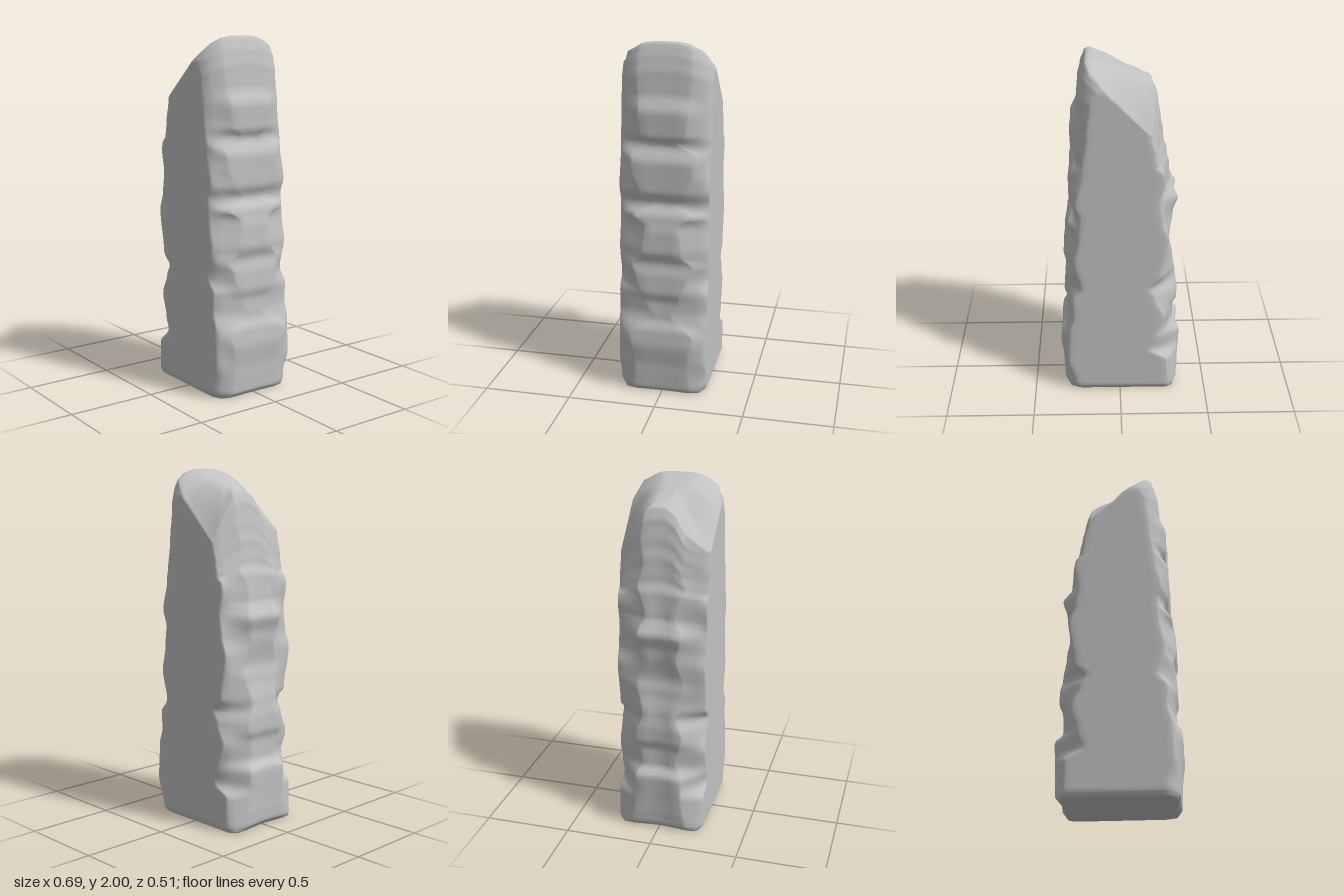
import * as THREE from 'three';

// Profiles as [height, value], eased between entries
const rightEdge = [[0, .315], [.02, .325], [.15, .33], [.3, .345], [.38, .338], [.45, .31], [.55, .305], [.61, .32], [.7, .315],
  [.78, .3], [.85, .32], [.95, .315], [1.05, .3], [1.12, .26], [1.19, .285], [1.35, .285], [1.45, .247], [1.51, .27],
  [1.65, .273], [1.75, .237], [1.86, .23], [1.94, .213], [2, .19]];
const leftEdge = [[0, .325], [.03, .337], [.12, .342], [.34, .35], [.39, .31], [.5, .31], [.56, .33], [.63, .33], [.72, .318],
  [.85, .295], [.93, .28], [1.1, .3], [1.2, .325], [1.24, .303], [1.28, .28], [1.42, .27], [1.53, .245], [1.66, .235],
  [1.78, .22], [1.93, .203], [2, .18]];
// Where the flat faces end on each side
const rightFace = [[0, .24], [.06, .26], [.2, .3], [.4, .29], [.5, .265], [.6, .27], [.68, .22], [.85, .255], [1, .23], [1.12, .22],
  [1.2, .245], [1.4, .205], [1.65, .18], [1.85, .16], [1.94, .13], [2, .08]];
const leftFace = [[0, .28], [.2, .275], [.27, .18], [.36, .21], [.5, .245], [.62, .2], [.68, .17], [.75, .23], [1, .265], [1.1, .235],
  [1.22, .22], [1.35, .24], [1.5, .2], [1.7, .19], [2, .165]];
// Half width of the side panels: each scallop starts narrow and widens upwards
const rightPanel = [[0, .17], [.2, .16], [.35, .19], [.48, .06], [.55, .1], [.7, .15], [.77, .18], [.83, .12], [1, .1], [1.06, .17],
  [1.12, .06], [1.18, .13], [1.3, .175], [1.4, .19], [1.46, .08], [1.52, .13], [1.65, .145], [1.9, .16], [2, .15]];
const leftPanel = [[0, .17], [.2, .14], [.34, .14], [.42, .1], [.6, .14], [.72, .1], [.9, .14], [1.05, .1], [1.2, .13],
  [1.3, .09], [1.5, .14], [1.65, .11], [1.85, .13], [2, .12]];

function sample(table, y) {
  const k = Math.max(1, table.findIndex(p => p[0] >= y - 1e-6));
  const [a, b] = [table[k - 1], table[k]];
  const t = THREE.MathUtils.clamp((y - a[0]) / (b[0] - a[0]), 0, 1);
  return a[1] + (b[1] - a[1]) * t * t * (3 - 2 * t);
}

// Slanted top: a high ridge that drops to diagonal cuts, with a steep hollow at the front left
function roofHeight(x, z) {
  const { clamp, lerp, smoothstep } = THREE.MathUtils;
  const ridge = Math.min(1.937 + .375 * x, 2 - .5 * (x - .16));
  const cut = Math.min(z > 0 ? 1.8 + .875 * x : 1.775 + x, 1.91);
  const slope = Math.pow(clamp((Math.abs(z) - .08) / .17, 0, 1), 1.6);
  const hollow = .65 * smoothstep(z, .02, .14) + .35 * clamp((z - .14) / .11, 0, 1);
  return lerp(ridge, cut, lerp(slope, hollow, z > 0 ? smoothstep(-x, -.06, .1) : 0));
}

// One quarter of a cross-section, from the side panel round the chipped corner to the flat face
function quarter(edge, trend, face, panel, dip, depth) {
  const corner = Math.min(edge - .004, (trend + face) / 2 + .004);
  return [
    [edge - dip, 0], [edge - dip * .5, panel * .5], [edge, panel * .88], [edge - (edge - corner) * .2, panel],
    [corner, panel + (depth - panel) * .62],
    [face + .006, depth - .006], [face - .012, depth], [face - .04, depth], [face * .4, depth]
  ];
}

function section(y) {
  const bevel = Math.max(0, 1 - y / .03);
  const depth = .253 - .015 * bevel;
  const inset = .01 * bevel;
  const right = quarter(sample(rightEdge, y) - inset, .33 - .05 * y, sample(rightFace, y), sample(rightPanel, y), .004, depth);
  const left = quarter(sample(leftEdge, y) - inset, .335 - .075 * y, sample(leftFace, y), sample(leftPanel, y), .015, depth)
    .map(([x, z]) => [-x, z]);
  const back = p => [p[0], -p[1]];
  return [...right, ...left.slice(1).reverse(), ...left.map(back), ...right.slice(1).reverse().map(back)];
}

function stoneGeometry() {
  const rings = [];
  const base = section(0);
  // Underside
  for (const s of [0, .5, .96]) rings.push(base.map(([x, z]) => [x * s, 0, z * s]));
  // Walls, with the upper part squeezed under the slanted top
  const heights = [0, .01, .02, .03];
  for (let i = 1; i <= 98; i++) heights.push(.03 + 1.97 * i / 98);
  for (const h of heights) {
    rings.push(section(h).map(([x, z]) => {
      const y = h < 1.4 ? h : 1.4 + (h - 1.4) / .6 * (roofHeight(x, z) - 1.4);
      return [x, y, z];
    }));
  }
  // Top surface
  const top = section(2);
  for (const s of [.96, .88, .76, .62, .46, .3, .15, 0]) {
    rings.push(top.map(([x, z]) => [x * s, roofHeight(x * s, z * s), z * s]));
  }
  const n = base.length, index = [];
  for (let j = 0; j < rings.length - 1; j++) {
    for (let i = 0; i < n; i++) {
      const a = j * n + i, b = j * n + (i + 1) % n;
      if (j < rings.length - 2) index.push(a, a + n, b + n);
      if (j > 0) index.push(a, b + n, b);
    }
  }
  const geometry = new THREE.BufferGeometry();
  geometry.setAttribute('position', new THREE.Float32BufferAttribute(rings.flat(2), 3));
  geometry.setIndex(index);
  geometry.computeVertexNormals();
  return geometry;
}

export function createModel() {
  const group = new THREE.Group();
  group.name = 'standingStone';
  const stone = new THREE.MeshStandardMaterial({ color: 0xc2c2c2 });
  stone.name = 'grey stone';
  const mesh = new THREE.Mesh(stoneGeometry(), stone);
  mesh.name = 'stone';
  group.add(mesh);
  return group;
}
